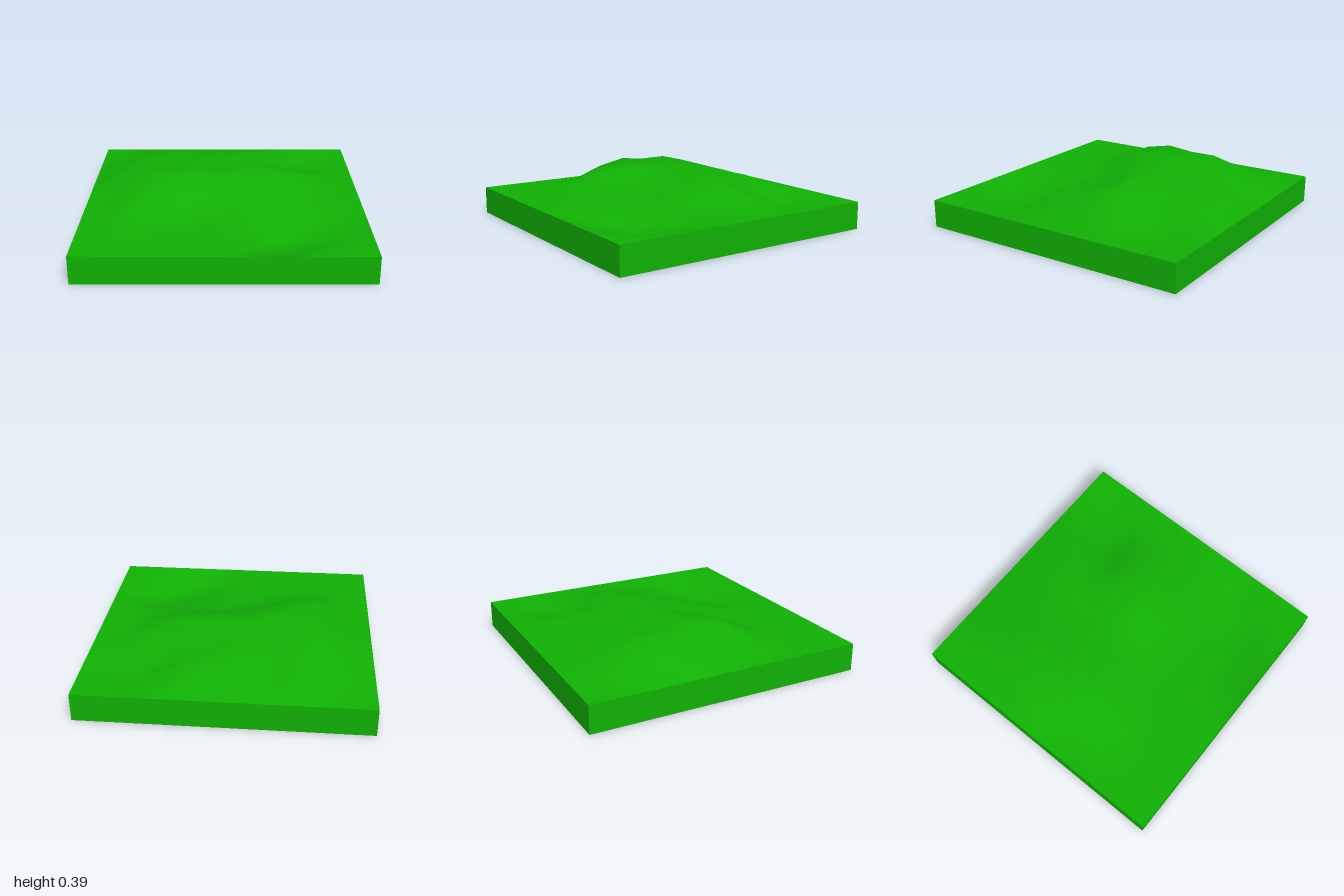
import * as THREE from 'three';

const BASE = 0.2; // slab thickness
const SEGMENTS = 10; // 0.2 unit cells

// Height of the ground above the slab in hundredths, inside the level rim.
// Rows run from back to front, columns from x = -0.8 to x = 0.8.
const RELIEF = [
  [3, 6, 5, 4, 4, 5, 4, -2, -1],
  [5, 12, 8, 10, 11, 12, 1, -4, -4],
  [7, 17, 12, 11, 9, 10, 6, 3, 0],
  [9, 17, 14, 16, 13, 17, 14, 9, 0],
  [4, 19, 17, 14, 12, 10, 11, 4, 0],
  [0, 15, 15, 7, 3, 3, 2, 1, 0],
  [0, 6, 4, 0, 0, 0, -2, -5, -3],
  [0, 0, 0, 0, -1, -5, -9, -10, -6],
  [0, 0, 0, 0, 0, -5, -8, -4, -1],
];

// Height at a grid point; the rim stays level
function relief(x, z) {
  const column = Math.round((x + 1) * SEGMENTS / 2) - 1;
  const row = Math.round((z + 1) * SEGMENTS / 2) - 1;
  return (RELIEF[row]?.[column] ?? 0) / 100;
}

export function createModel() {
  const group = new THREE.Group();
  group.name = 'terrainTile';

  // Square slab whose top face is raised into hills and sunk into hollows
  const geometry = new THREE.BoxGeometry(2, BASE, 2, SEGMENTS, 1, SEGMENTS);
  geometry.translate(0, BASE / 2, 0);
  const position = geometry.attributes.position;
  const normal = geometry.attributes.normal;
  for (let i = 0; i < position.count; i++) {
    if (normal.getY(i) > 0.5) {
      position.setY(i, BASE + relief(position.getX(i), position.getZ(i)));
    }
  }
  geometry.computeVertexNormals(); // faces share no corners, so the rim stays sharp

  const terrain = new THREE.Mesh(geometry, new THREE.MeshStandardMaterial({ color: 0x10b004 }));
  terrain.name = 'grassTerrain';
  group.add(terrain);
  return group;
}
